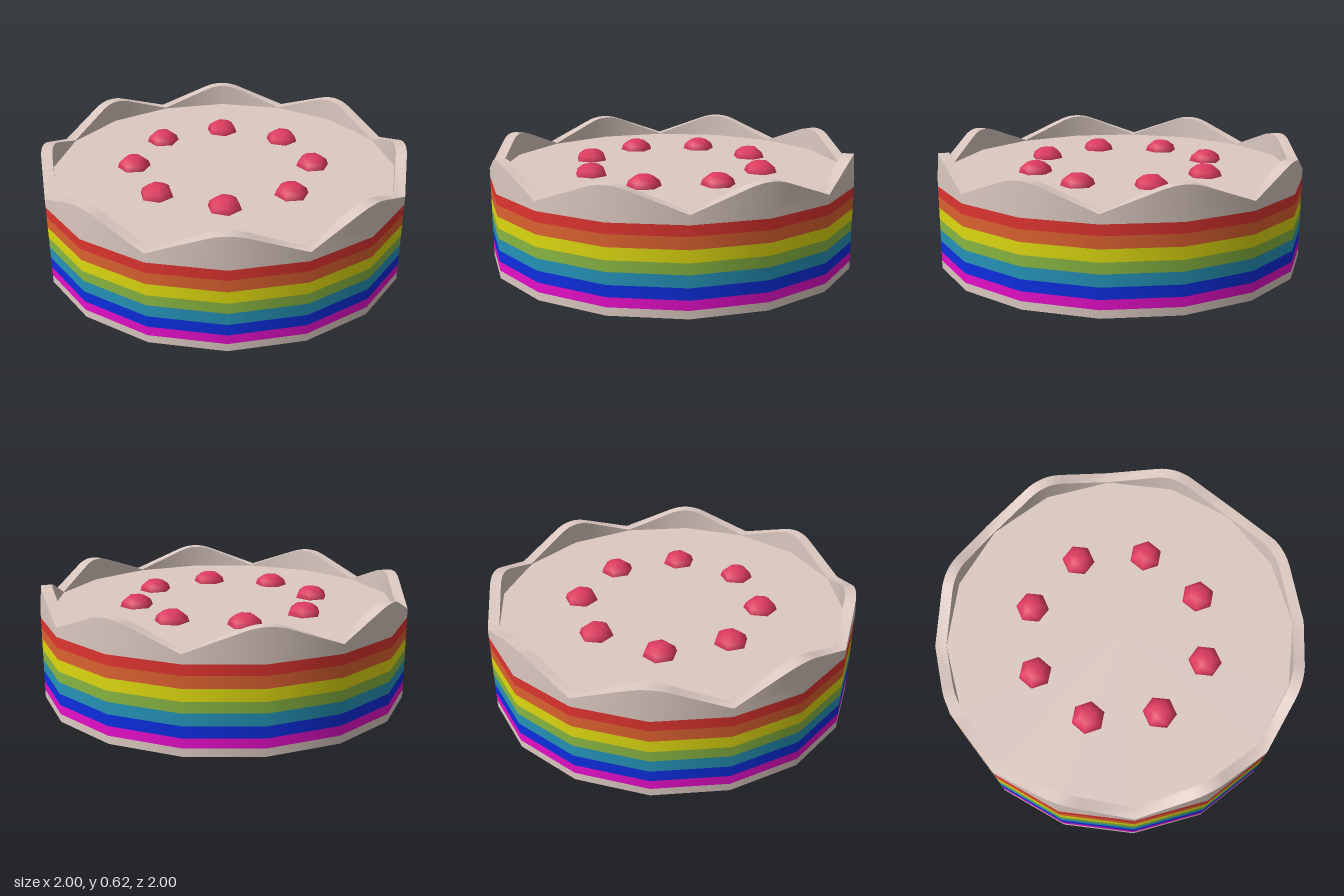
import * as THREE from 'three';

const SIDES = 16, RIM_Y = 0.5, FLOOR_Y = 0.496, INNER = 0.94, PEAK_Y = 0.643;

const flat = (name, color) => {
  const m = new THREE.MeshStandardMaterial({ color });
  m.name = name;
  return m;
};

// Point on the 16-sided outline, at a given step and height
const corner = (i, y) => {
  const a = (i / SIDES) * Math.PI * 2;
  return new THREE.Vector3(Math.sin(a), y, Math.cos(a));
};

// Two matching rings: the plain outline, and the wavy edge with rounded peaks
function makeRings() {
  const base = [], wave = [];
  for (let k = 0; k < SIDES; k += 2) {
    const v0 = corner(k, RIM_Y), peak = corner(k + 1, PEAK_Y), v1 = corner(k + 2, RIM_Y);
    const foot = corner(k + 1, RIM_Y);
    const start = v0.clone().lerp(peak, 0.72), end = v1.clone().lerp(peak, 0.72);
    const curve = new THREE.QuadraticBezierCurve3(start, peak, end);
    base.push(v0.clone());
    wave.push(v0.clone());
    for (let j = 0; j <= 8; j++) {
      const t = j / 8;
      const u = 0.72 + 0.28 * (1 - Math.abs(2 * t - 1));
      base.push((t <= 0.5 ? v0 : v1).clone().lerp(foot, u));
      wave.push(curve.getPoint(t));
    }
  }
  return { base, wave };
}

// Closed strip of faces between two rings
function strip(lower, upper) {
  const n = lower.length, pos = [], index = [];
  for (const p of [...lower, ...upper]) pos.push(p.x, p.y, p.z);
  for (let i = 0; i < n; i++) {
    const j = (i + 1) % n;
    index.push(i, j, n + j, i, n + j, n + i);
  }
  const g = new THREE.BufferGeometry();
  g.setAttribute('position', new THREE.Float32BufferAttribute(pos, 3));
  g.setIndex(index);
  g.computeVertexNormals();
  return g;
}

// Make wall normals point straight out (1) or in (-1)
function radialNormals(g, sign) {
  const p = g.attributes.position, n = g.attributes.normal;
  for (let i = 0; i < p.count; i++) {
    const r = Math.hypot(p.getX(i), p.getZ(i)) * sign;
    n.setXYZ(i, p.getX(i) / r, 0, p.getZ(i) / r);
  }
  return g;
}

export function createModel() {
  const group = new THREE.Group();
  group.name = 'cake';
  const icing = flat('icing', 0xdcc9c1);
  const berry = flat('berry', 0xdc3a5e);
  const add = (name, geo, mat, parent = group) => {
    const mesh = new THREE.Mesh(geo, mat);
    mesh.name = name;
    parent.add(mesh);
    return mesh;
  };

  // Side wall, stacked from coloured bands: name, top height, material
  const bands = [
    ['bottomBand', 0.042, icing],
    ['magentaStripe', 0.092, flat('magenta', 0xe60fca)],
    ['blueStripe', 0.152, flat('blue', 0x0d2ee0)],
    ['tealStripe', 0.215, flat('teal', 0x2593b8)],
    ['greenStripe', 0.272, flat('green', 0x88b642)],
    ['yellowStripe', 0.335, flat('yellow', 0xdfd910)],
    ['orangeStripe', 0.397, flat('orange', 0xdd6230)],
    ['redStripe', 0.452, flat('red', 0xdf342f)],
    ['topBand', RIM_Y, icing],
  ];
  let y = 0;
  for (const [name, top, mat] of bands) {
    const g = new THREE.CylinderGeometry(1, 1, top - y, SIDES, 1, true);
    add(name, g.translate(0, (top + y) / 2, 0), mat);
    y = top;
  }

  // Underside and top surface
  const turn = Math.PI / 2;
  add('underside', new THREE.CircleGeometry(1, SIDES).rotateX(turn), icing);
  add('topSurface', new THREE.CircleGeometry(INNER, SIDES).rotateX(-turn).translate(0, FLOOR_Y, 0), icing);

  // Wavy raised collar: outer wall, top edge, inner wall
  const { base, wave } = makeRings();
  const shrink = (ring, h) => ring.map(p => new THREE.Vector3(p.x * INNER, h ?? p.y, p.z * INNER));
  const innerWave = shrink(wave), innerBase = shrink(base, FLOOR_Y);
  add('collarOuter', radialNormals(strip(base, wave), 1), icing);
  add('collarEdge', strip(wave, innerWave), icing);
  add('collarInner', radialNormals(strip(innerWave, innerBase), -1), icing);

  // Ring of eight half-sunk berries
  const berries = new THREE.Group();
  berries.name = 'berries';
  berries.position.set(-0.01, FLOOR_Y - 0.005, -0.01);
  group.add(berries);
  const dome = new THREE.SphereGeometry(0.092, 6, 3, 0, Math.PI * 2, 0, Math.PI / 2).scale(1, 0.75, 1);
  for (let i = 0; i < 8; i++) {
    const a = ((i + 0.5) / 8) * Math.PI * 2;
    const b = add('berry', dome, berry, berries);
    b.position.set(Math.sin(a) * 0.492, 0, Math.cos(a) * 0.492);
    const nearSide = Math.abs(Math.sin(a)) > 0.7;
    b.rotation.y = nearSide ? Math.PI / 6 : 0.08;
  }
  return group;
}
